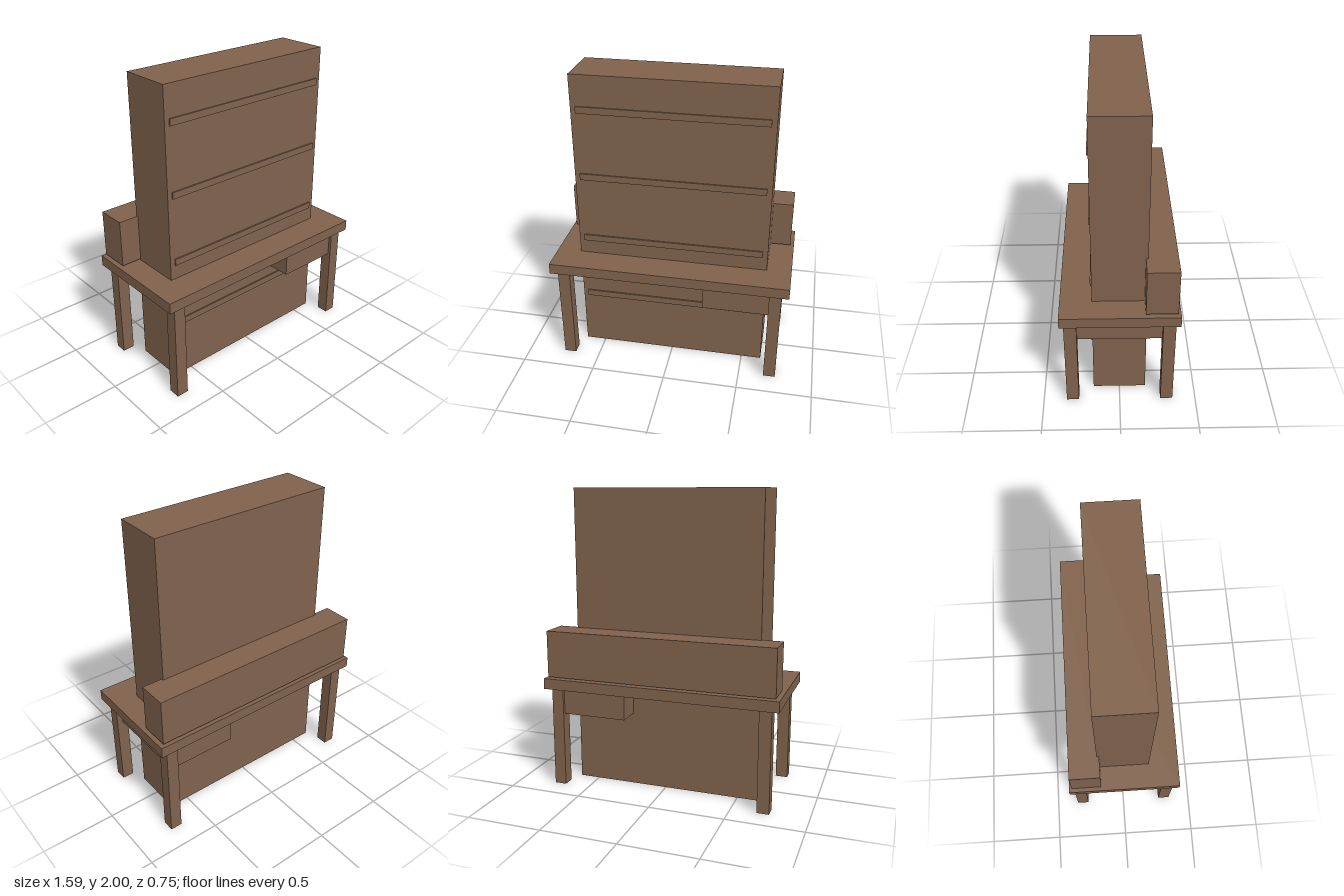
import * as THREE from 'three';

const wood = new THREE.MeshStandardMaterial({ color: 0x80624c });
wood.name = 'brown wood';

// Box given by its limits on each axis
function box(name, [x0, x1], [y0, y1], [z0, z1]) {
  const mesh = new THREE.Mesh(new THREE.BoxGeometry(x1 - x0, y1 - y0, z1 - z0), wood);
  mesh.name = name;
  mesh.position.set((x0 + x1) / 2, (y0 + y1) / 2, (z0 + z1) / 2);
  return mesh;
}

export function createModel() {
  const model = new THREE.Group();
  model.name = 'deskWithCabinet';

  // Desk: top, four legs and the drawer box between the left legs
  const desk = new THREE.Group();
  desk.name = 'desk';
  desk.add(box('deskTop', [-0.797, 0.797], [0.675, 0.747], [-0.373, 0.373]));
  for (const sx of [-1, 1]) {
    for (const sz of [-1, 1]) {
      const leg = box('deskLeg', [-0.04, 0.04], [0, 0.675], [-0.04, 0.04]);
      leg.position.x = sx * 0.709;
      leg.position.z = sz * 0.309;
      desk.add(leg);
    }
  }
  desk.add(box('drawer', [0.233, 0.71], [0.502, 0.665], [-0.33, 0.33]));
  model.add(desk);

  // Tall cabinet passing through the desk, with evenly spaced rails on its front
  const cabinet = new THREE.Group();
  cabinet.name = 'cabinet';
  cabinet.add(box('cabinetBody', [-0.635, 0.635], [0, 2], [-0.173, 0.173]));
  for (let i = 0; i < 4; i++) {
    const y = 0.411 + i * 0.455;
    cabinet.add(box('shelfRail', [-0.602, 0.602], [y - 0.022, y + 0.022], [0.16, 0.182]));
  }
  model.add(cabinet);

  // Long box along the back edge of the desk
  model.add(box('backHutch', [-0.772, 0.772], [0.757, 1.07], [-0.355, -0.157]));

  return model;
}
